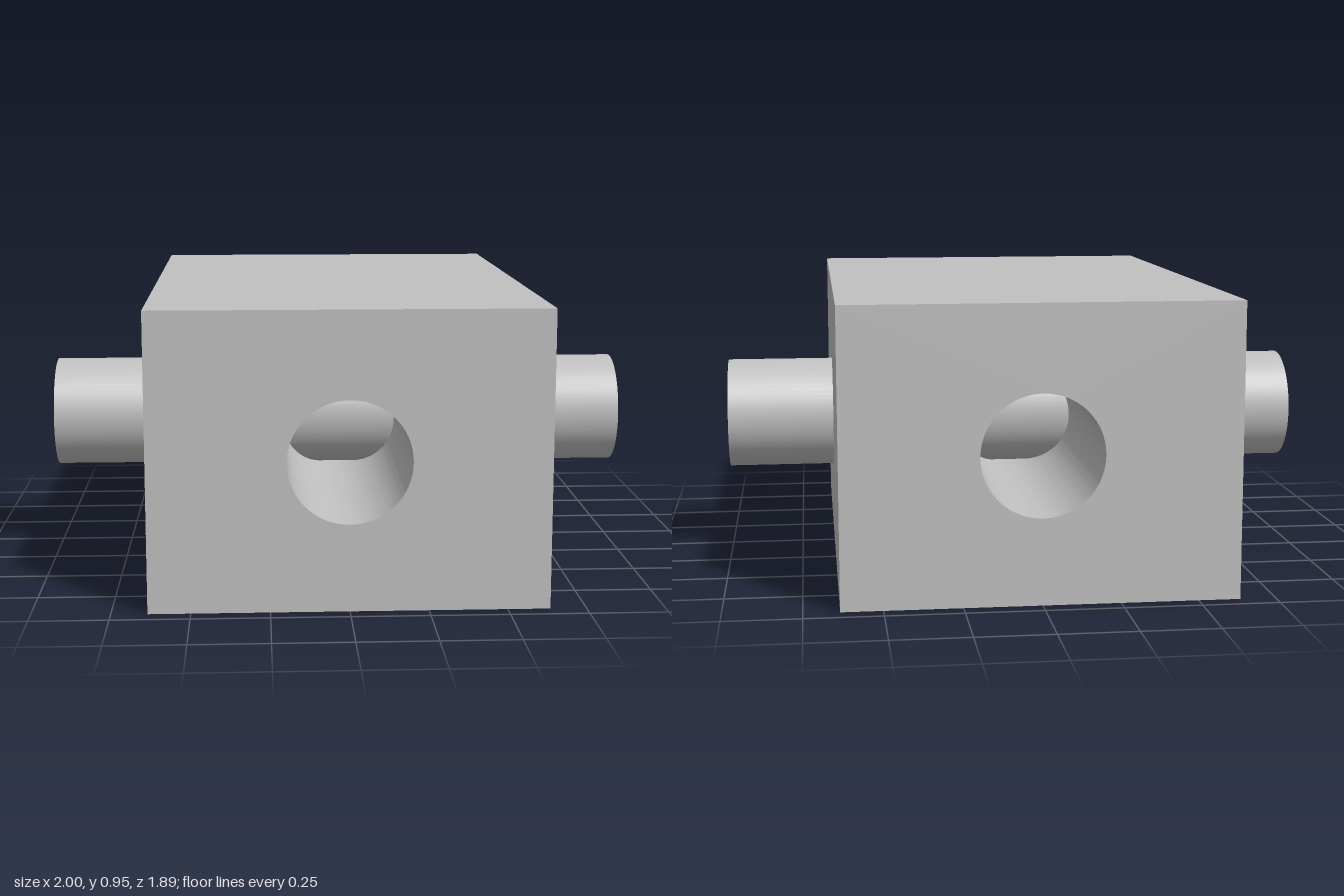
import * as THREE from 'three';
import { toCreasedNormals } from 'three/addons/utils/BufferGeometryUtils.js';

export function createModel() {
  const model = new THREE.Group();
  const grey = new THREE.MeshStandardMaterial({ color: 0xc0c0c0 });
  grey.name = 'grey';

  const width = 1.27, height = 0.955, depth = 1.89;
  const boreRadius = 0.197, pinRadius = 0.19;

  // Block with a round bore running front to back
  const section = new THREE.Shape([
    new THREE.Vector2(-width / 2, -height / 2),
    new THREE.Vector2(width / 2, -height / 2),
    new THREE.Vector2(width / 2, height / 2),
    new THREE.Vector2(-width / 2, height / 2),
  ]);
  const bore = new THREE.Path();
  bore.absarc(0, 0, boreRadius, 0, Math.PI * 2, true);
  section.holes.push(bore);
  const blockGeometry = new THREE.ExtrudeGeometry(section, {
    depth, bevelEnabled: false, curveSegments: 64,
  });
  blockGeometry.translate(0, 0, -depth / 2);
  const block = new THREE.Mesh(toCreasedNormals(blockGeometry, Math.PI / 6), grey);
  block.name = 'boredBlock';
  block.position.y = height / 2;
  model.add(block);

  // Cross pin passing through the block from side to side
  const pin = new THREE.Mesh(new THREE.CylinderGeometry(pinRadius, pinRadius, 2, 64), grey);
  pin.name = 'crossPin';
  pin.rotation.z = Math.PI / 2;
  pin.position.y = height / 2;
  model.add(pin);

  return model;
}
